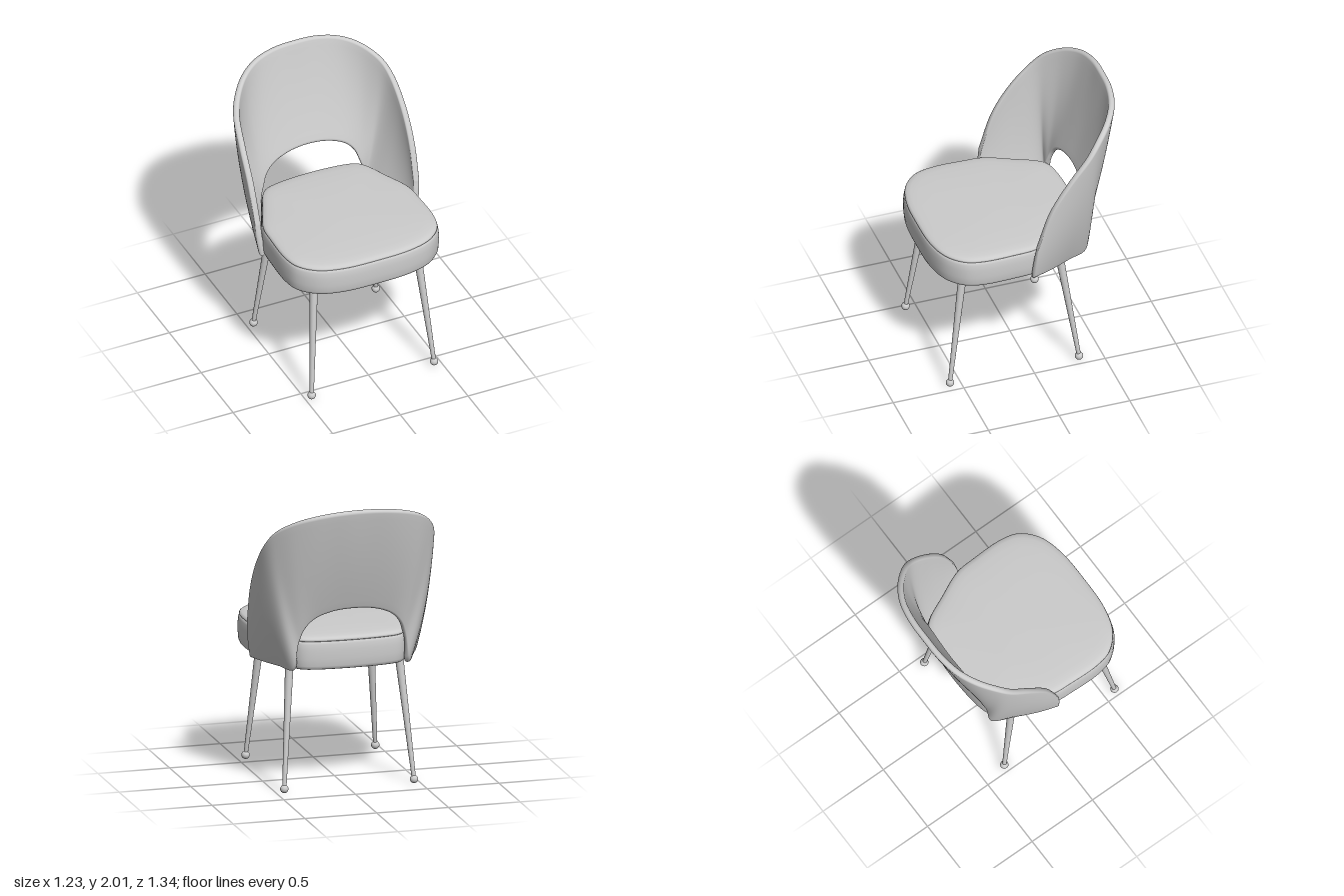
import * as THREE from 'three';
import { mergeVertices } from 'three/addons/utils/BufferGeometryUtils.js';

const V = (x, y, z) => new THREE.Vector3(x, y, z);

// Stitch sheets of points (rows of equal length) into one smooth geometry
function sheets(list) {
  const pos = [], idx = [];
  for (const { rows, flip } of list) {
    const base = pos.length / 3, n = rows[0].length;
    rows.forEach(r => r.forEach(p => pos.push(p.x, p.y, p.z)));
    for (let i = 0; i < rows.length - 1; i++) {
      for (let j = 0; j < n - 1; j++) {
        const a = base + i * n + j, b = a + n, c = b + 1, d = a + 1;
        if (flip) idx.push(a, c, b, a, d, c);
        else idx.push(a, b, c, a, c, d);
      }
    }
  }
  let g = new THREE.BufferGeometry();
  g.setAttribute('position', new THREE.Float32BufferAttribute(pos, 3));
  g.setIndex(idx);
  g = mergeVertices(g, 1e-4);
  g.computeVertexNormals();
  return g;
}

// Mirror a half curve (starting on the centre line) across x = 0
function mirroredCurve(half) {
  const left = half.map(p => V(...p));
  const right = half.slice(1).reverse().map(([x, y, z]) => V(-x, y, z));
  return new THREE.CatmullRomCurve3([...right, ...left]);
}

// Wrap-around backrest: lofted from the lower edge (with arch) through a middle curve to the rim
function backrestGeometry() {
  const rim = mirroredCurve([
    [0, 2.002, -0.675], [0.16, 1.995, -0.67], [0.316, 1.969, -0.635],
    [0.443, 1.923, -0.561], [0.544, 1.845, -0.455], [0.59, 1.76, -0.369],
    [0.612, 1.6, -0.223], [0.614, 1.38, -0.08], [0.606, 1.1, 0.015]]);
  const middle = mirroredCurve([
    [0, 1.64, -0.59], [0.157, 1.63, -0.582], [0.305, 1.59, -0.557],
    [0.41, 1.53, -0.512], [0.48, 1.445, -0.452], [0.523, 1.31, -0.392],
    [0.567, 1.23, -0.26], [0.594, 1.12, -0.108], [0.601, 0.98, 0.027]]);
  const lower = mirroredCurve([
    [0, 1.275, -0.477], [0.15, 1.26, -0.469], [0.27, 1.212, -0.453],
    [0.337, 1.14, -0.438], [0.37, 1.05, -0.42], [0.403, 0.858, -0.398],
    [0.467, 0.853, -0.258], [0.533, 0.852, -0.112], [0.584, 0.852, 0.032]]);
  const half = 0.0215;

  const surface = (u, t) => {
    const s = THREE.MathUtils.clamp((u + 1) / 2, 0, 1);
    return lower.getPoint(s).multiplyScalar((1 - t) * (1 - 2 * t))
      .addScaledVector(middle.getPoint(s), 4 * t * (1 - t))
      .addScaledVector(rim.getPoint(s), t * (2 * t - 1));
  };
  const normal = (u, t) => {
    const k = THREE.MathUtils.clamp(t, 0.2, 0.9), e = 0.04;
    const du = surface(Math.min(1, u + e), k).sub(surface(Math.max(-1, u - e), k));
    const dv = surface(u, k + 0.05).sub(surface(u, k - 0.05));
    return dv.cross(du).normalize();
  };
  const round = d => {
    const e = Math.min(1, d / half);
    return Math.sqrt(1 - (1 - e) * (1 - e));
  };

  // Samples bunch up at the borders so that the edges are rounded
  const ends = [0, 0.002, 0.007, 0.013];
  const us = ends.map(d => -1 + d / 1.6);
  for (let i = 0; i <= 80; i++) us.push((-1 + i / 40) * (1 - half / 1.6));
  us.push(...ends.map(d => 1 - d / 1.6).reverse());

  const outer = [], inner = [];
  for (const u of us) {
    const len = surface(u, 0).distanceTo(surface(u, 1));
    const ds = [...ends];
    for (let j = 0; j <= 16; j++) ds.push(half + (len - 2 * half) * j / 16);
    ds.push(...ends.map(d => len - d).reverse());
    const o = [], n = [];
    for (const d of ds) {
      const t = d / len, nor = normal(u, t);
      const h = half * Math.min(round(d), round(len - d), round((1 - Math.abs(u)) * 1.6));
      const mid = surface(u, t).addScaledVector(nor, -half);
      o.push(mid.clone().addScaledVector(nor, h));
      n.push(mid.clone().addScaledVector(nor, -h));
    }
    outer.push(o);
    inner.push(n);
  }
  return sheets([{ rows: outer, flip: true }, { rows: inner, flip: false }]);
}

// The seat and legs sit a hair to the right of the backrest
const shift = -0.005;

// Seat plan, stacked in layers of [height, inset]
const plan = (() => {
  const half = [[0, 0.667], [0.25, 0.655], [0.42, 0.602], [0.525, 0.5], [0.559, 0.38],
    [0.559, 0.15], [0.546, 0], [0.462, -0.19], [0.387, -0.345], [0.34, -0.392],
    [0.25, -0.418], [0, -0.435]];
  const other = half.slice(1, -1).reverse().map(([x, z]) => [-x, z]);
  const pts = [...half, ...other].map(([x, z]) => V(x, 0, z));
  return new THREE.CatmullRomCurve3(pts, true).getPoints(132);
})();

function layered(layers) {
  const rows = layers.map(([y, inset]) => {
    const s = 1 - inset / 0.55;
    return plan.map(p => V(p.x * s + shift, y, 0.1 + (p.z - 0.1) * s));
  });
  return sheets([{ rows, flip: true }]);
}

export function createModel() {
  const group = new THREE.Group();
  const grey = new THREE.MeshStandardMaterial({ color: 0xcccccc });
  grey.name = 'plain grey';
  const add = (name, geometry, parent = group) => {
    const mesh = new THREE.Mesh(geometry, grey);
    mesh.name = name;
    parent.add(mesh);
    return mesh;
  };

  add('backrest', backrestGeometry());

  // Seat body with a flat underside, and the domed cushion above its seam
  add('seatBody', layered([[0.854, 0.55], [0.854, 0.06], [0.855, 0.02], [0.861, 0.011],
    [0.88, 0.004], [0.93, 0], [0.99, 0], [1.03, 0.004], [1.046, 0.01], [1.051, 0.02], [1.05, 0.06]]));
  add('seatCushion', layered([[1.045, 0.05], [1.047, 0.016], [1.054, 0.008], [1.064, 0.011],
    [1.073, 0.021], [1.08, 0.045], [1.085, 0.09], [1.09, 0.18], [1.094, 0.32], [1.095, 0.55]]));

  // Splayed tapering legs with ball feet
  const legs = [
    ['front', V(0.38, 0.88, 0.462), V(0.452, 0.028, 0.58)],
    ['back', V(0.38, 0.88, -0.212), V(0.452, 0.028, -0.333)]];
  for (const [place, top, foot] of legs) {
    for (const side of [1, -1]) {
      const leg = new THREE.Group();
      leg.name = place + (side > 0 ? 'LeftLeg' : 'RightLeg');
      const a = top.clone(), b = foot.clone();
      a.x = a.x * side + shift;
      b.x = b.x * side + shift;
      const axis = a.clone().sub(b);
      const shaft = add('legShaft', new THREE.CylinderGeometry(0.029, 0.014, axis.length(), 20), leg);
      shaft.position.copy(a).add(b).multiplyScalar(0.5);
      shaft.quaternion.setFromUnitVectors(V(0, 1, 0), axis.normalize());
      add('ballFoot', new THREE.SphereGeometry(0.028, 20, 14), leg).position.copy(b);
      group.add(leg);
    }
  }
  return group;
}
